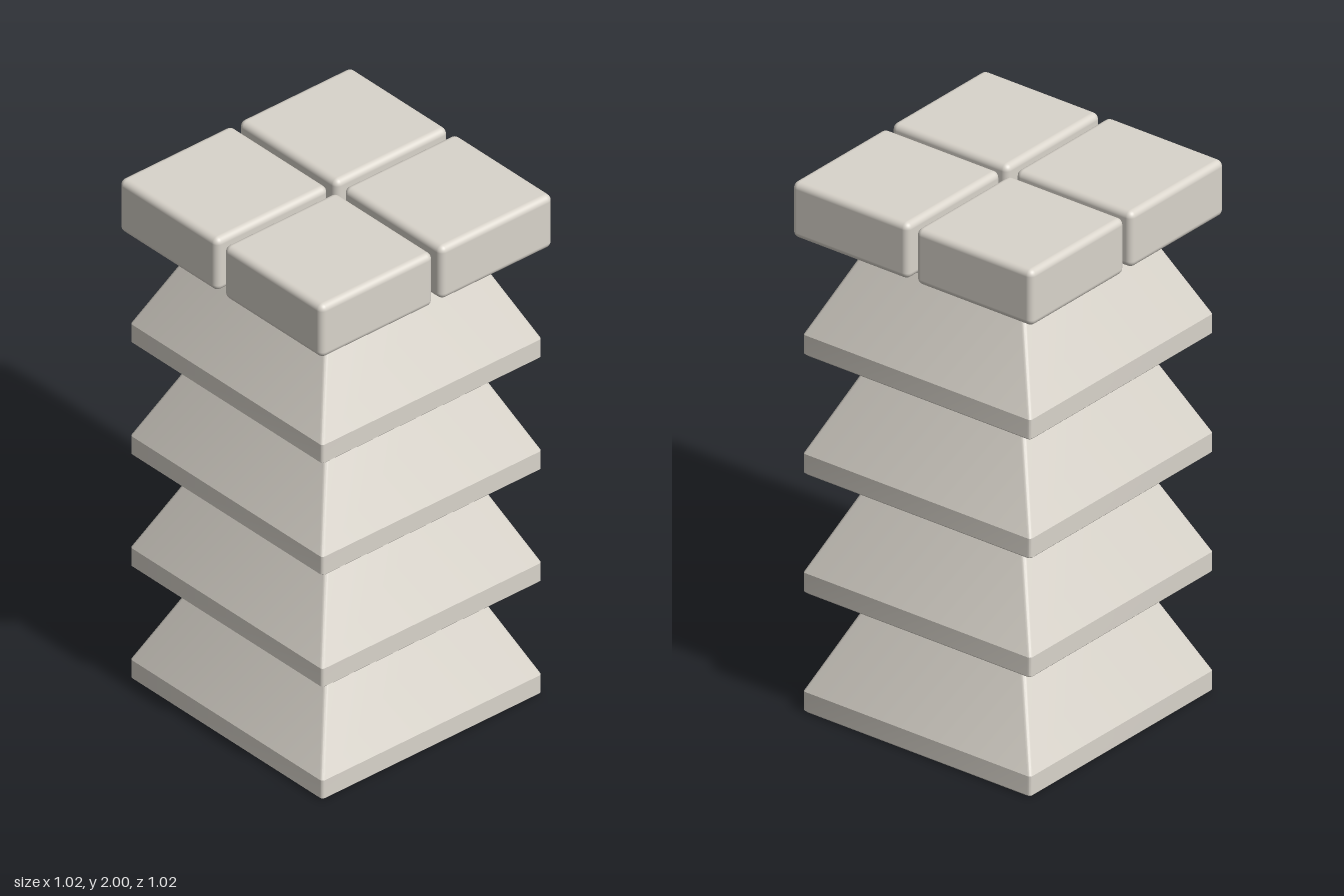
import * as THREE from 'three';
import { toCreasedNormals } from 'three/addons/utils/BufferGeometryUtils.js';
import { RoundedBoxGeometry } from 'three/addons/geometries/RoundedBoxGeometry.js';

const ARC = 5; // steps per rounded corner

// Counter-clockwise (seen from the front of the xy plane) rounded square
function roundedSquare(half, r) {
  const pts = [];
  for (let c = 0; c < 4; c++) {
    const base = c * Math.PI / 2;
    const cx = (c === 0 || c === 3 ? 1 : -1) * (half - r);
    const cz = (c < 2 ? 1 : -1) * (half - r);
    for (let i = 0; i <= ARC; i++) {
      const a = base + (i / ARC) * Math.PI / 2;
      pts.push([cx + r * Math.cos(a), cz + r * Math.sin(a)]);
    }
  }
  return pts;
}

// Skin a list of [halfWidth, y, cornerRadius] rings; rising rings face outward
function loft(rings) {
  const pos = [], idx = [];
  const n = 4 * (ARC + 1);
  for (const [half, y, r] of rings)
    for (const [x, z] of roundedSquare(half, r)) pos.push(x, y, z);
  for (let k = 0; k < rings.length - 1; k++)
    for (let i = 0; i < n; i++) {
      const a = k * n + i, b = k * n + (i + 1) % n;
      idx.push(a, a + n, b, b, a + n, b + n);
    }
  const g = new THREE.BufferGeometry();
  g.setAttribute('position', new THREE.Float32BufferAttribute(pos, 3));
  g.setIndex(idx);
  return toCreasedNormals(g, 0.42);
}

export function createModel() {
  const group = new THREE.Group();
  const stone = new THREE.MeshStandardMaterial({ color: 0xd9d4cb });
  stone.name = 'pale stone';
  const add = (name, geo, x, y, z) => {
    const m = new THREE.Mesh(geo, stone);
    m.name = name;
    m.position.set(x, y, z);
    group.add(m);
  };

  // Flared tiers: lip, sloping sides; the lowest is hollow and open below
  const step = 0.4475;
  const outer = [[0.478, 0.002, 0.012], [0.485, 0.009, 0.012], [0.485, 0.08, 0.012], [0.312, step, 0.015]];
  const hollow = loft([[0.29, step, 0.012], [0.468, 0.002, 0.012], ...outer, [0.29, step, 0.012]]);
  const solid = loft([[0.001, 0.002, 0.0005], ...outer, [0.001, step, 0.0005]]);
  for (let i = 0; i < 4; i++) add('tier' + (i + 1), i ? solid : hollow, 0, i * step, 0);

  // Thin plate under the cap slabs
  add('capPlate', new THREE.BoxGeometry(0.9, 0.055, 0.9), 0, 1.8205, 0);

  // Four rounded cap slabs
  const slab = new RoundedBoxGeometry(0.496, 0.21, 0.496, 4, 0.024);
  for (const x of [-1, 1])
    for (const z of [-1, 1]) add('capSlab', slab, x * 0.264, 1.895, z * 0.264);

  return group;
}
